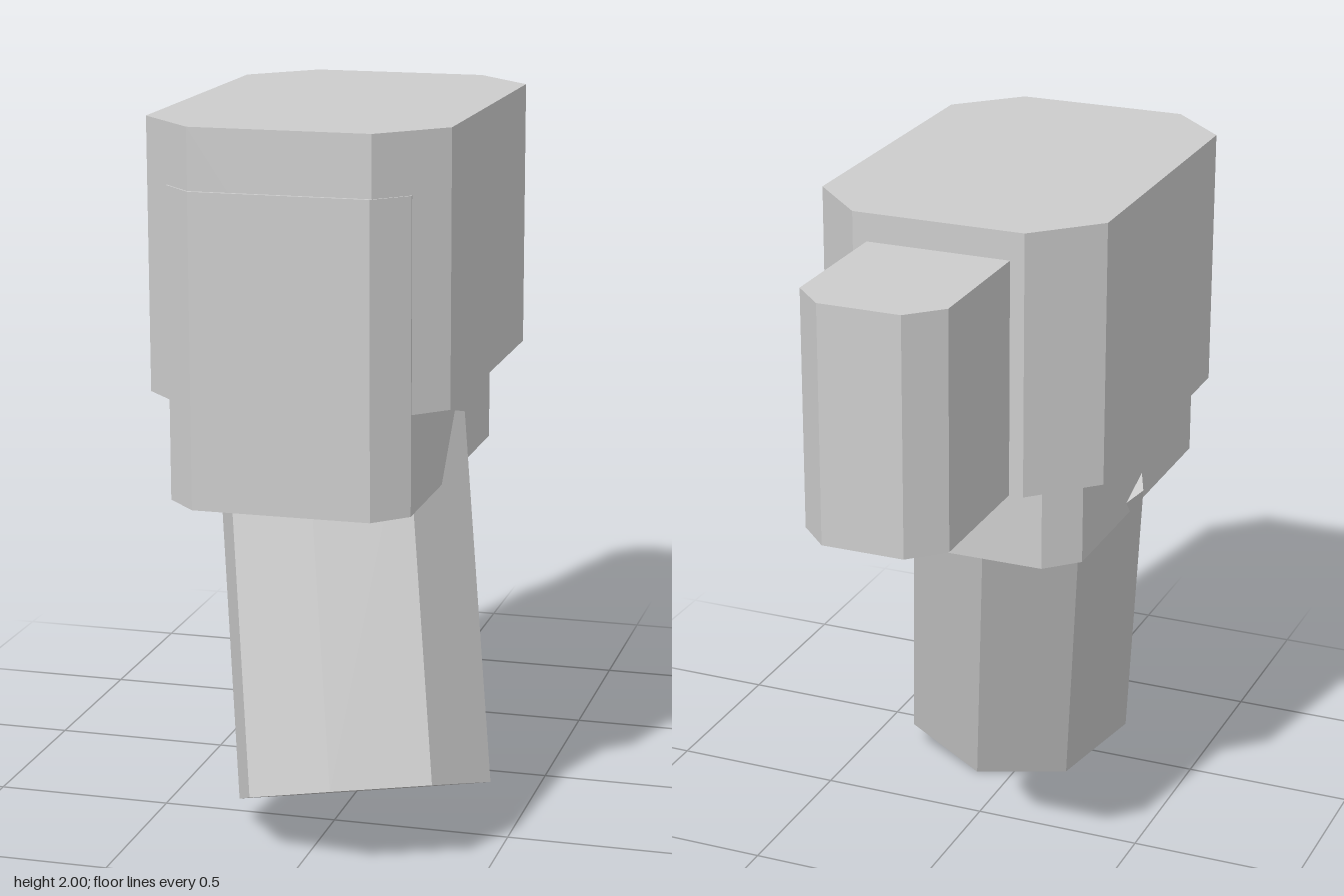
import * as THREE from 'three';

const grey = new THREE.MeshStandardMaterial({ color: 0xcccccc, flatShading: true });
grey.name = 'plain grey';

// Upright block with its four vertical corners cut off
function chamferedBlock(name, [x0, x1], [y0, y1], [z0, z1], c) {
  const outline = [
    [x0 + c, z0], [x1 - c, z0], [x1, z0 + c], [x1, z1 - c],
    [x1 - c, z1], [x0 + c, z1], [x0, z1 - c], [x0, z0 + c],
  ].map(([x, z]) => new THREE.Vector2(x, -z));
  const geometry = new THREE.ExtrudeGeometry(new THREE.Shape(outline), {
    depth: y1 - y0, bevelEnabled: false,
  });
  geometry.rotateX(-Math.PI / 2);
  geometry.translate(0, y0, 0);
  const mesh = new THREE.Mesh(geometry, grey);
  mesh.name = name;
  return mesh;
}

export function createModel() {
  const model = new THREE.Group();
  model.name = 'blockModel';

  // Large upper body, the core that passes through it, and the rear block
  model.add(
    chamferedBlock('upperBody', [-0.47, 0.365], [1.25, 2], [-0.412, 0.816], 0.169),
    chamferedBlock('lowerCore', [-0.386, 0.281], [0.975, 1.832], [-0.265, 0.826], 0.088),
    chamferedBlock('rearBlock', [-0.26, 0.155], [1.25, 1.92], [-0.91, -0.25], 0.09),
  );

  // Tilted eight-sided leg
  const leg = new THREE.Mesh(new THREE.CylinderGeometry(0.361, 0.361, 1.03, 8), grey);
  leg.name = 'tiltedLeg';
  leg.position.set(0.023, 0.606, 0.395);
  leg.rotation.set(-0.34, 0, 0.157);
  model.add(leg);

  return model;
}
